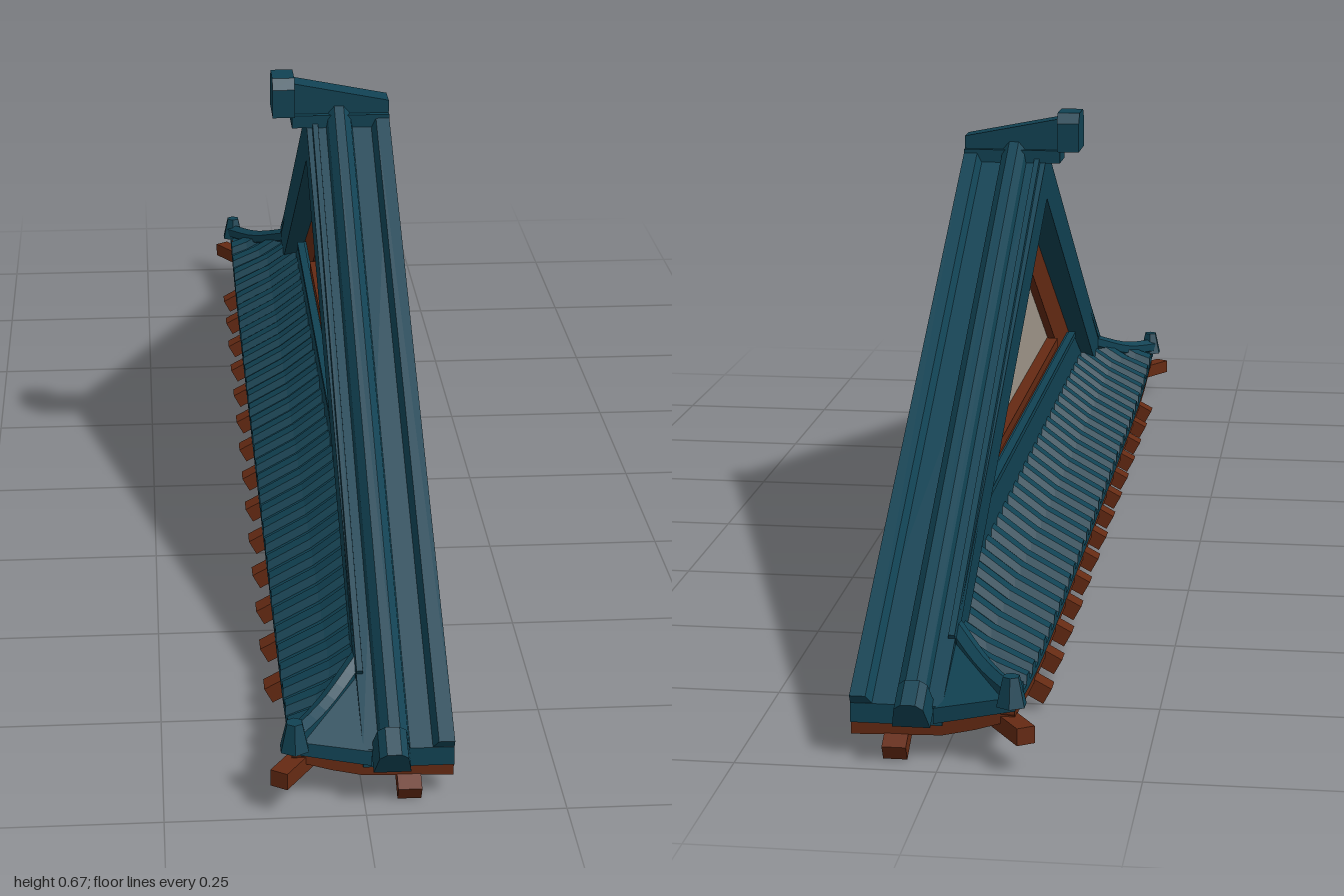
import * as THREE from 'three';
import { ConvexGeometry } from 'three/addons/geometries/ConvexGeometry.js';

const mat = (name, color, side = THREE.FrontSide) =>
  Object.assign(new THREE.MeshStandardMaterial({ color, flatShading: true, side }), { name });

export function createModel() {
  const root = new THREE.Group();
  root.name = 'gableRoofEnd';
  const teal = mat('tealTile', 0x114253, THREE.DoubleSide);
  const brown = mat('brownTimber', 0x652a13, THREE.DoubleSide);
  const plaster = mat('plaster', 0xa0978a);

  const add = (name, geo, material, parent = root) => {
    const m = new THREE.Mesh(geo, material);
    m.name = name;
    parent.add(m);
    return m;
  };
  const box = (name, material, x0, x1, y0, y1, z0, z1) =>
    add(name, new THREE.BoxGeometry(x1 - x0, y1 - y0, z1 - z0), material)
      .position.set((x0 + x1) / 2, (y0 + y1) / 2, (z0 + z1) / 2);
  const shapeOf = (pts) => new THREE.Shape(pts.map(([a, b]) => new THREE.Vector2(a, b)));
  // Extrudes a (z, y) outline from x0 to x1
  const acrossX = (pts, x0, x1, hole) => {
    const s = shapeOf(pts);
    if (hole) s.holes.push(shapeOf(hole));
    return new THREE.ExtrudeGeometry(s, { depth: x1 - x0, bevelEnabled: false })
      .rotateY(-Math.PI / 2).translate(x1, 0, 0);
  };
  // Completes an outline that is symmetric about z = 0
  const mirrored = (half) => [...half, ...half.filter(([z]) => z > 0).reverse().map(([z, y]) => [-z, y])];

  const pitch = Math.atan(0.5625);

  // Main roof slab, with the outer verge leaning outwards at the top
  const slab = acrossX(mirrored([[0, 0.61], [0.96, 0.07], [0.96, 0.045], [0.86, 0.053], [0, 0.535]]
    .slice(0, 4)).slice(0, 4).concat([[0, 0.535]],
    [[-0.86, 0.053], [-0.96, 0.045], [-0.96, 0.07]]), 0, 0.113);
  const sp = slab.attributes.position;
  for (let i = 0; i < sp.count; i++)
    if (sp.getX(i) < 0.05) sp.setX(i, -0.011 * sp.getY(i) / 0.6);
  slab.computeVertexNormals();
  add('mainRoofSlab', slab, teal);

  // Back wall, gable frame, plaster infill and flashing ledge
  add('backWall', acrossX([[-0.85, 0.038], [0.85, 0.038], [0.85, 0.059], [0, 0.536], [-0.85, 0.059]], 0.104, 0.112), brown);
  add('gableFrame', acrossX([[-0.62, 0.19], [0.62, 0.19], [0, 0.54]], 0.028, 0.046,
    [[-0.41, 0.225], [0, 0.462], [0.41, 0.225]]), brown);
  add('gableInfill', acrossX([[-0.45, 0.21], [0.45, 0.21], [0, 0.48]], 0.04, 0.045), plaster);
  box('gableSill', brown, 0.022, 0.04, 0.212, 0.228, -0.4, 0.4);
  add('flashingLedge', acrossX([[-0.8, 0.09], [0.8, 0.09], [0.59, 0.197], [-0.59, 0.197]], 0.018, 0.04), teal);
  box('flashingTrim', teal, 0.012, 0.024, 0.191, 0.2, -0.58, 0.58);
  box('soffit', brown, -0.02, 0.106, 0.045, 0.05, -0.85, 0.85);
  box('eaveBeam', brown, -0.02, 0.015, 0.03, 0.07, -0.85, 0.85);

  // Skirt roof: corrugated surface swept along z
  const eaveY = (z) => 0.05 + 0.032 * Math.pow(Math.abs(z) / 0.96, 6);
  const pitchZ = 0.0565, samples = [-0.96];
  for (let k = -16; k <= 16; k++)
    for (const o of [-0.28, -0.2, 0.2, 0.28]) samples.push((k + o) * pitchZ);
  samples.push(0.96);
  const lift = (i) => (i === 0 || i === samples.length - 1 ? 0 : ((i - 1) % 4 === 1 || (i - 1) % 4 === 2) ? 0.012 : 0);
  const skirtRow = (z, i) => {
    const f = Math.max(0, (Math.abs(z) - 0.8) / 0.16);       // hip cut at the ends
    const e = eaveY(z), h = lift(i);
    const top = [0.03 - 0.118 * f, 0.13 + (e - 0.13) * f];
    const mid = [(top[0] - 0.092) / 2, (top[1] + e) / 2 - 0.006 * (1 - f)];
    return [[top[0], top[1] + h], [mid[0], mid[1] + h], [-0.092, e + h], [-0.092, e - 0.008]];
  };
  const underRow = (z) => {
    const f = Math.max(0, (Math.abs(z) - 0.8) / 0.16), e = eaveY(z);
    return [[-0.09, e - 0.006], [-0.09, e - 0.02], [-0.07, e - 0.018], [0.02 - 0.08 * f, 0.1 + (e - 0.11) * f]];
  };
  const sweep = (rowOf) => {
    const pos = [], idx = [];
    let n = 0;
    samples.forEach((z, i) => {
      const row = rowOf(z, i);
      n = row.length;
      row.forEach(([x, y]) => pos.push(x, y, z));
      if (i) for (let j = 0; j < n - 1; j++) {
        const a = (i - 1) * n + j, b = a + n;
        idx.push(a, a + 1, b, b, a + 1, b + 1);
      }
    });
    const g = new THREE.BufferGeometry();
    g.setAttribute('position', new THREE.Float32BufferAttribute(pos, 3));
    // orient outwards (towards -x and up for the tiles)
    for (let k = 0; k < idx.length; k += 3) [idx[k + 1], idx[k + 2]] = [idx[k + 2], idx[k + 1]];
    g.setIndex(idx);
    const flat = g.toNonIndexed();
    flat.computeVertexNormals();
    const ny = flat.attributes.normal.getY(0);
    if (rowOf === skirtRow && ny < 0) {
      for (let k = 0; k < idx.length; k += 3) [idx[k + 1], idx[k + 2]] = [idx[k + 2], idx[k + 1]];
      g.setIndex(idx);
    }
    g.computeVertexNormals();
    return g;
  };
  add('skirtTiles', sweep(skirtRow), teal);
  add('skirtEaveBoard', sweep(underRow), brown);

  // Skirt rafters
  for (let k = 0; k < 14; k++) {
    const r = add('skirtRafter', new THREE.BoxGeometry(0.11, 0.023, 0.028).translate(0.055, 0, 0), brown);
    r.position.set(-0.107, 0.02, 0.71 - k * 0.113);
    r.rotation.z = 0.5;
  }

  // Parts repeated at both ends
  for (const s of [1, -1]) {
    const end = new THREE.Group();
    end.name = s > 0 ? 'frontEnd' : 'backEnd';
    root.add(end);

    // Rolls running down the slope
    const roll = (name, pts, from, to) => {
      const g = new THREE.ExtrudeGeometry(shapeOf(pts), { depth: to - from, bevelEnabled: false })
        .translate(0, 0, s > 0 ? from : -to);
      const m = add(name, g, teal, end);
      m.position.y = 0.608;
      m.rotation.x = s * pitch;
    };
    roll('vergeRoll', [[0.018, 0], [0.058, 0], [0.055, 0.014], [0.045, 0.024], [0.031, 0.024], [0.021, 0.014]], 0, 1.1);
    roll('innerRoll', [[0.085, 0], [0.113, 0], [0.113, 0.014], [0.093, 0.014]], 0, 1.1);
    roll('vergeEdge', [[-0.004, -0.01], [0.008, -0.01], [0.006, 0.008], [-0.002, 0.008]], 0.02, 0.99);
    roll('vergeCap', [[0.01, -0.004], [0.057, -0.004], [0.052, 0.028], [0.043, 0.036], [0.025, 0.036], [0.016, 0.028]], 1.09, 1.13);

    // Corner roof between hip and end eave
    const V = (x, y, z) => new THREE.Vector3(x, y, s * z);
    add('cornerRoof', new ConvexGeometry([V(0.01, 0.125, 0.83), V(0.01, 0.068, 0.962), V(-0.092, 0.088, 0.965),
      V(0.01, 0.048, 0.962), V(-0.092, 0.07, 0.965), V(0.01, 0.06, 0.83)]), teal, end);
    const hip = new THREE.CatmullRomCurve3([V(0.01, 0.13, 0.82), V(-0.045, 0.099, 0.9), V(-0.092, 0.09, 0.968)]);
    add('hipRidge', new THREE.TubeGeometry(hip, 8, 0.013, 6), teal, end);
    const fin = add('hipFinial', new THREE.CylinderGeometry(0.011, 0.02, 0.037, 6), teal, end);
    fin.position.set(-0.087, 0.097, s * 0.966);

    // Curved eave board under the end of the main slope
    const board = new THREE.ExtrudeGeometry(shapeOf([[-0.09, 0.055], [-0.04, 0.04], [0, 0.031], [0.113, 0.028],
      [0.113, 0.055], [0.08, 0.051], [0.035, 0.058], [0, 0.05], [-0.04, 0.062], [-0.09, 0.08]]),
      { depth: 0.03, bevelEnabled: false });
    add('endEaveBoard', board, brown, end).position.z = s > 0 ? 0.925 : -0.955;

    // Corner and end rafters
    const corner = add('cornerRafter', new THREE.BoxGeometry(0.024, 0.022, 0.11), brown, end);
    corner.position.set(-0.078, 0.048, s * 0.942);
    corner.rotation.y = -s * 0.57;
    const rafter = add('endRafter', new THREE.BoxGeometry(0.03, 0.022, 0.1), brown, end);
    rafter.position.set(0.057, 0.035, s * 0.925);
    rafter.rotation.x = s * pitch;
  }

  // Top ridge with its end finial
  const ridge = new THREE.ExtrudeGeometry(shapeOf([[-0.03, 0.612], [0.113, 0.612], [0.113, 0.632], [-0.03, 0.66]]),
    { depth: 0.04, bevelEnabled: false });
  add('ridgeBeam', ridge, teal).position.z = -0.02;
  box('ridgeBase', teal, -0.033, 0.113, 0.594, 0.613, -0.03, 0.03);
  add('ridgeFinial', acrossX([[-0.036, 0.612], [0.036, 0.612], [0.036, 0.655], [0.024, 0.67], [-0.024, 0.67], [-0.036, 0.655]],
    -0.062, -0.029), teal);

  return root;
}
